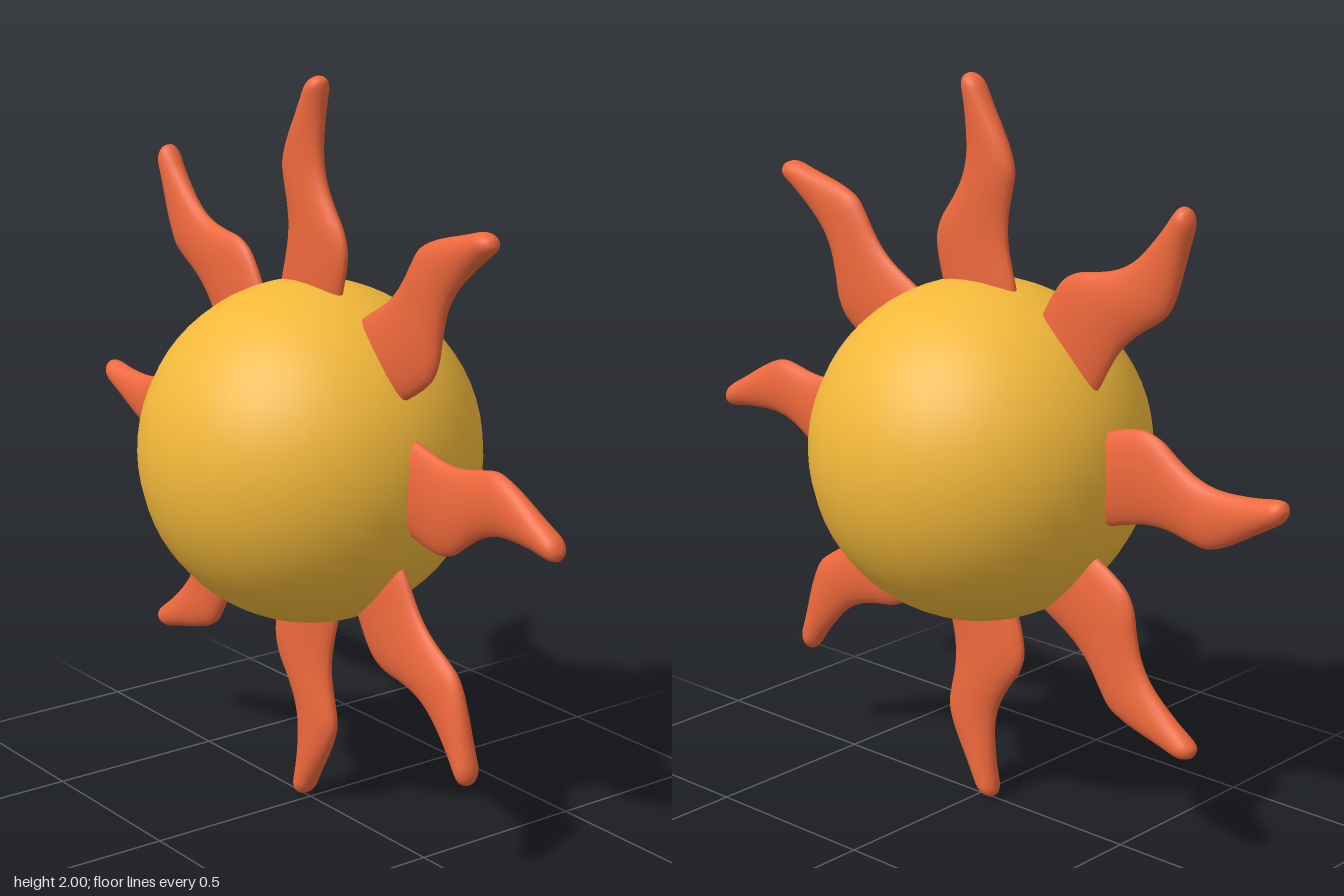
import * as THREE from 'three';

const BODY_RADIUS = 0.4625;
const RAY_COUNT = 8;
const THICKNESS = 0.034;

// Wavy ray outline: [distance from centre, left edge, right edge]
const OUTLINE = [
  [0.38, -0.13, 0.115], [0.45, -0.12, 0.135], [0.51, -0.104, 0.15],
  [0.56, -0.093, 0.154], [0.61, -0.09, 0.137], [0.66, -0.095, 0.101],
  [0.71, -0.106, 0.07], [0.76, -0.113, 0.052], [0.81, -0.098, 0.046],
  [0.86, -0.072, 0.047], [0.91, -0.042, 0.051], [0.95, -0.019, 0.057],
  [0.975, -0.004, 0.059], [0.99, 0.01, 0.055], [1.0, 0.031, 0.039],
];

// Lofts elliptical cross-sections between the two edges of the outline
function createRayGeometry(steps = 56, sides = 24) {
  const edges = new THREE.CatmullRomCurve3(
    OUTLINE.map(([y, left, right]) => new THREE.Vector3(left, y, right)), false, 'catmullrom');
  const positions = [];
  const indices = [];
  for (let i = 0; i <= steps; i++) {
    const { x: left, y, z: right } = edges.getPoint(i / steps);
    const centre = (left + right) / 2;
    const halfWidth = (right - left) / 2;
    // Even thickness, rounded off at the tip
    const k = Math.min(1, Math.max(0, (y - 0.96) / 0.04));
    const depth = THICKNESS * Math.sqrt(1 - k * k);
    for (let j = 0; j < sides; j++) {
      const a = (j / sides) * Math.PI * 2;
      positions.push(centre + halfWidth * Math.cos(a), y, depth * Math.sin(a));
      if (i === steps) continue;
      const p = i * sides + j;
      const q = i * sides + ((j + 1) % sides);
      indices.push(p, p + sides, q, q, p + sides, q + sides);
    }
  }
  const geometry = new THREE.BufferGeometry();
  geometry.setAttribute('position', new THREE.Float32BufferAttribute(positions, 3));
  geometry.setIndex(indices);
  geometry.computeVertexNormals();
  return geometry;
}

export function createModel() {
  const model = new THREE.Group();
  model.name = 'sun';

  // Round body
  const body = new THREE.Mesh(
    new THREE.SphereGeometry(BODY_RADIUS, 32, 32),
    new THREE.MeshStandardMaterial({ color: 0xf2b83a }));
  body.name = 'body';
  body.position.y = 1;
  model.add(body);

  // Ring of identical flame-shaped rays
  const rays = new THREE.Group();
  rays.name = 'rays';
  rays.position.y = 1;
  const rayGeometry = createRayGeometry();
  const rayMaterial = new THREE.MeshStandardMaterial({ color: 0xee683c });
  for (let i = 0; i < RAY_COUNT; i++) {
    const ray = new THREE.Mesh(rayGeometry, rayMaterial);
    ray.name = `ray${i + 1}`;
    ray.rotation.z = (-i / RAY_COUNT) * Math.PI * 2;
    rays.add(ray);
  }
  model.add(rays);

  return model;
}
